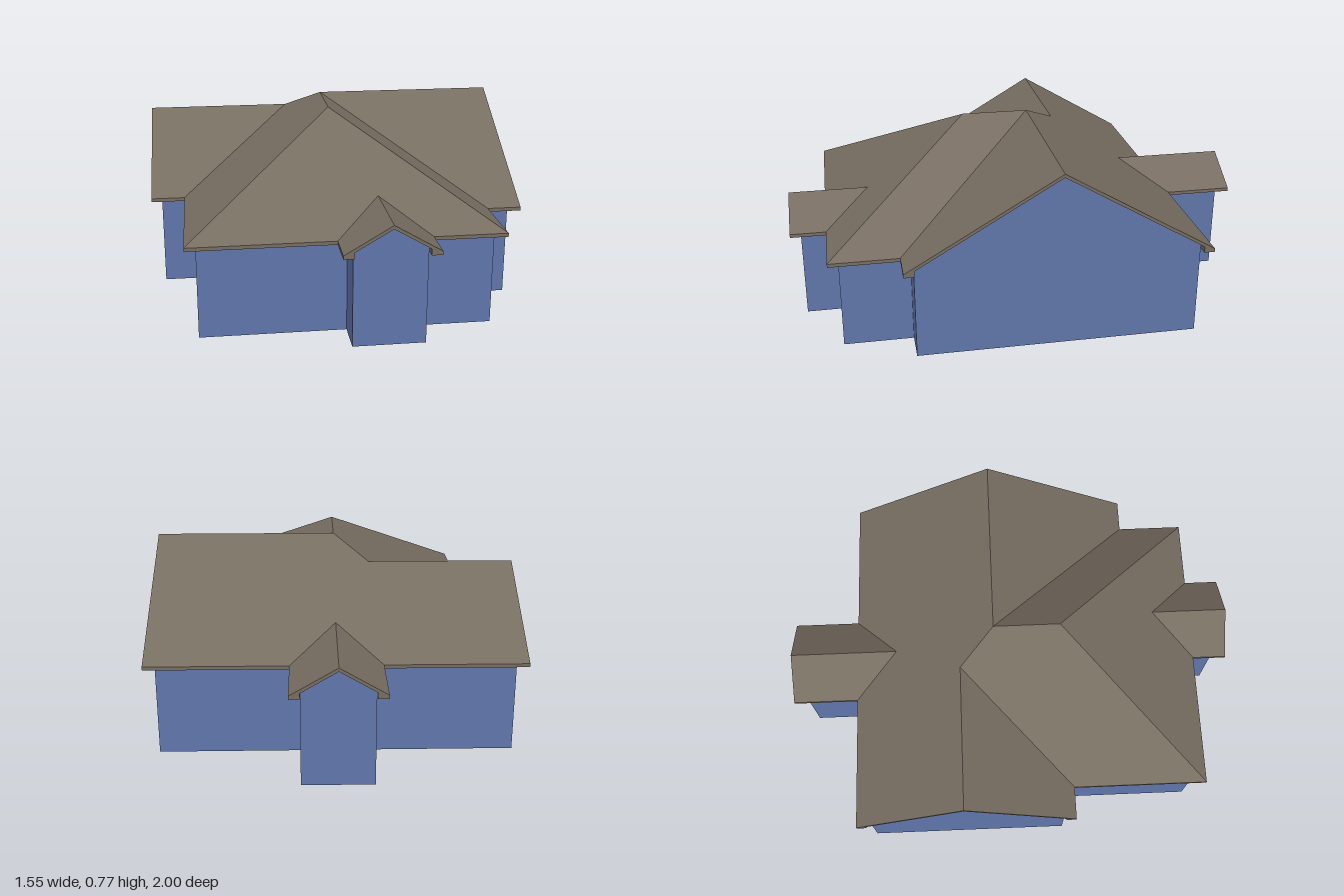
import * as THREE from 'three';

const EAVE = 0.4, PITCH = 0.59, THICK = 0.015, HANG = 0.044;
const WALL_TOP = EAVE - THICK + HANG * PITCH;

const roofMat = new THREE.MeshStandardMaterial({ color: 0x776d61, side: THREE.DoubleSide });
roofMat.name = 'brown roof';
const wallMat = new THREE.MeshStandardMaterial({ color: 0x6076ab, side: THREE.DoubleSide });
wallMat.name = 'blue wall';

// Flat-faced mesh from a list of triangle corners
function facetMesh(name, corners, material) {
  const g = new THREE.BufferGeometry().setFromPoints(corners);
  g.computeVertexNormals();
  const m = new THREE.Mesh(g, material);
  m.name = name;
  return m;
}

const quad = (a, b, c, d) => [a, b, c, a, c, d];

// Sloped slab; each point is [x, z, horizontal run up from the eave]
function roofSlab(name, pts) {
  const outline = pts.map(([x, z]) => new THREE.Vector2(x, z));
  // reversed order in x/z makes the top face upwards
  if (THREE.ShapeUtils.area(outline) > 0) { pts = [...pts].reverse(); outline.reverse(); }
  const top = pts.map(([x, z, run]) => new THREE.Vector3(x, EAVE + run * PITCH, z));
  const low = top.map(p => p.clone().setY(p.y - THICK));
  const out = [];
  for (const [i, j, k] of THREE.ShapeUtils.triangulateShape(outline, [])) {
    const [a, b, c] = [outline[i], outline[j], outline[k]];
    const up = (b.x - a.x) * (c.y - a.y) - (b.y - a.y) * (c.x - a.x) < 0;
    const [p, q] = up ? [j, k] : [k, j];
    out.push(top[i], top[p], top[q], low[i], low[q], low[p]);
  }
  top.forEach((p, i) => {
    const n = (i + 1) % top.length;
    out.push(...quad(p, low[i], low[n], top[n]));
  });
  return facetMesh(name, out, roofMat);
}

// Boxed eave: wedge between the eave edge a-b and the wall line ia-ib
function boxedEave(a, b, ia, ib) {
  const y0 = EAVE - THICK;
  const v = ([x, z], y) => new THREE.Vector3(x, y, z);
  const [A, B, C, D] = [v(a, y0), v(b, y0), v(ib, y0), v(ia, y0)];
  const [E, F] = [v(ia, WALL_TOP), v(ib, WALL_TOP)];
  return facetMesh('boxedEave',
    [...quad(A, B, C, D), ...quad(D, C, F, E), A, D, E, B, F, C], roofMat);
}

// Main dimensions
const GX = 0.777, WX = 0.635, BACK = -0.71, FRONT = 0.85;
const RZ = -0.075, LZ = -0.225;              // ridges of the right and left wings
const RF = 0.56, LF = 0.26;                  // front eaves of the right and left wings
const HIP = FRONT - WX, R = WX, L = LZ - BACK;
const P = 0.19, PX = 0.145, PF = 1, PB = -1; // porch half width, centre and ends
const h = HANG;

export function createModel() {
  const house = new THREE.Group();
  house.name = 'house';

  // Roof slopes
  const roof = new THREE.Group();
  roof.name = 'roof';
  roof.add(
    roofSlab('backSlope', [[-GX, BACK, 0], [-GX, LZ, L], [-0.15, LZ, L], [0, RZ, R],
      [GX, RZ, R], [GX, BACK, 0], [P, BACK, 0], [0, BACK + P, P], [-P, BACK, 0]]),
    roofSlab('leftWingSlope', [[-GX, LZ, L], [-GX, LF, 0], [-WX, LF, 0], [-0.15, LZ, L]]),
    roofSlab('frontWingLeftSlope', [[-0.15, LZ, L], [-WX, LF, 0], [-WX, FRONT, 0], [0, HIP, R], [0, RZ, R]]),
    roofSlab('frontHip', [[-WX, FRONT, 0], [PX - P, FRONT, 0], [PX, FRONT - P, P],
      [PX + P, FRONT, 0], [WX, FRONT, 0], [0, HIP, R]]),
    roofSlab('frontWingRightSlope', [[0, HIP, R], [WX, FRONT, 0], [WX, RF, 0], [0, RZ, R]]),
    roofSlab('rightWingSlope', [[0, RZ, R], [WX, RF, 0], [GX, RF, 0], [GX, RZ, R]]));

  // Porch gables, front and back, with their eaves
  for (const [cx, eave, end, dir] of [[PX, FRONT, PF, 1], [0, BACK, PB, -1]]) {
    for (const s of [-1, 1]) {
      const x = cx + s * P, inner = x - s * h;
      roof.add(roofSlab('porchSlope', [[cx, end, P], [cx, eave - dir * P, P], [x, eave, 0], [x, end, 0]]));
      roof.add(boxedEave([x, eave], [x, end], [inner, eave - dir * h], [inner, end]));
    }
  }

  // Boxed eaves of the main roof
  const eaves = [
    [[-GX, BACK], [-P, BACK], [-GX, BACK + h], [-P + h, BACK + h]],
    [[P, BACK], [GX, BACK], [P - h, BACK + h], [GX, BACK + h]],
    [[-GX, LF], [-WX, LF], [-GX, LF - h], [-WX + h, LF - h]],
    [[-WX, LF], [-WX, FRONT], [-WX + h, LF - h], [-WX + h, FRONT - h]],
    [[-WX, FRONT], [PX - P, FRONT], [-WX + h, FRONT - h], [PX - P + h, FRONT - h]],
    [[PX + P, FRONT], [WX, FRONT], [PX + P - h, FRONT - h], [WX - h, FRONT - h]],
    [[WX, FRONT], [WX, RF], [WX - h, FRONT - h], [WX - h, RF - h]],
    [[WX, RF], [GX, RF], [WX - h, RF - h], [GX, RF - h]],
  ];
  eaves.forEach(e => roof.add(boxedEave(...e)));
  house.add(roof);

  // Walls follow the plan; a third value is the gable run above the wall that starts there
  const plan = [
    [-WX + h, FRONT - h], [PX - P + h, FRONT - h], [PX - P + h, PF - h, P], [PX + P - h, PF - h],
    [PX + P - h, FRONT - h], [WX - h, FRONT - h], [WX - h, RF - h], [GX - h, RF - h, R],
    [GX - h, BACK + h], [P - h, BACK + h], [P - h, PB + h, P], [-P + h, PB + h],
    [-P + h, BACK + h], [-GX + h, BACK + h, L], [-GX + h, LF - h], [-WX + h, LF - h],
  ];
  const walls = new THREE.Group();
  walls.name = 'walls';
  plan.forEach(([x, z, run], i) => {
    const [nx, nz] = plan[(i + 1) % plan.length];
    const v = (px, y, pz) => new THREE.Vector3(px, y, pz);
    const a = v(x, WALL_TOP, z), b = v(nx, WALL_TOP, nz);
    const tris = quad(v(x, 0, z), v(nx, 0, nz), b, a);
    if (run) tris.push(a, b, v((x + nx) / 2, EAVE - THICK + run * PITCH, (z + nz) / 2));
    walls.add(facetMesh(run ? 'gableWall' : 'wall', tris, wallMat));
  });
  house.add(walls);
  return house;
}
